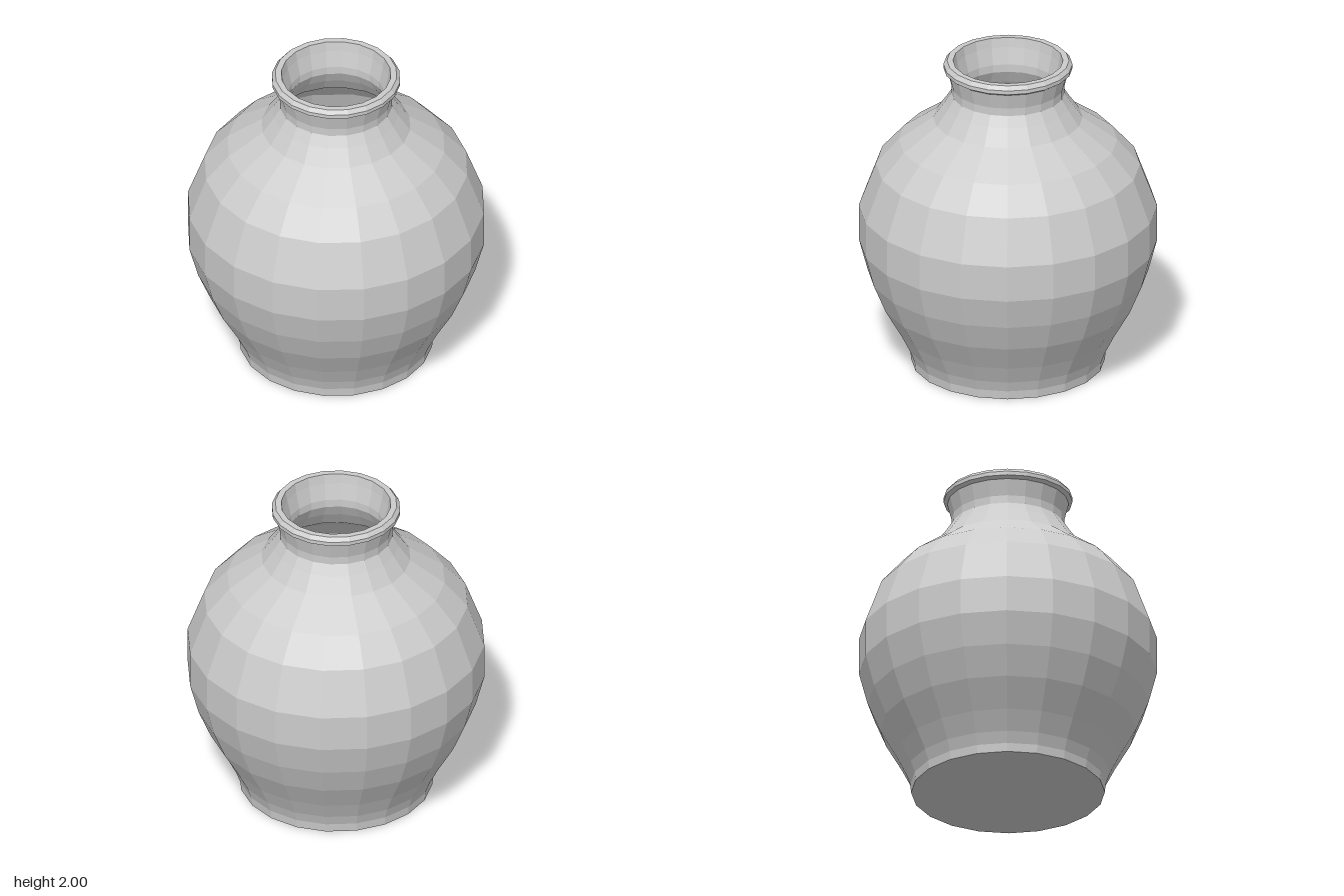
import * as THREE from 'three';

const SIDES = 20;

// Spin a list of [radius, height] points into a faceted surface
function lathe(name, profile) {
  const points = profile.map(([r, y]) => new THREE.Vector2(r, y));
  const material = new THREE.MeshStandardMaterial({ color: 0xcccccc, flatShading: true });
  const mesh = new THREE.Mesh(new THREE.LatheGeometry(points, SIDES), material);
  mesh.name = name;
  return mesh;
}

export function createModel() {
  const vase = new THREE.Group();
  vase.name = 'vase';

  // Underside, foot, belly, shoulder and neck, from bottom to top
  const outer = [
    [0, 0], [0.59, 0], [0.595, 0.055], [0.62, 0.125], [0.68, 0.245],
    [0.78, 0.42], [0.855, 0.6], [0.908, 0.8], [0.908, 1.03],
    [0.805, 1.31], [0.665, 1.47], [0.455, 1.62], [0.385, 1.72],
    [0.345, 1.785], [0.345, 1.835], [0.37, 1.935],
  ];

  // Rolled lip around the mouth
  const lip = [
    [0.37, 1.935], [0.393, 1.95], [0.393, 1.975], [0.372, 2], [0.335, 2], [0.325, 1.94],
  ];

  // Hollow inside, from mouth to floor
  const inner = [
    [0.325, 1.94], [0.3, 1.835], [0.3, 1.785], [0.345, 1.7], [0.42, 1.59],
    [0.635, 1.435], [0.77, 1.285], [0.868, 1.02], [0.868, 0.81],
    [0.815, 0.61], [0.74, 0.435], [0.64, 0.26], [0.58, 0.135], [0.555, 0.055], [0, 0.055],
  ];

  vase.add(lathe('body', outer), lathe('lip', lip), lathe('inside', inner));
  return vase;
}
